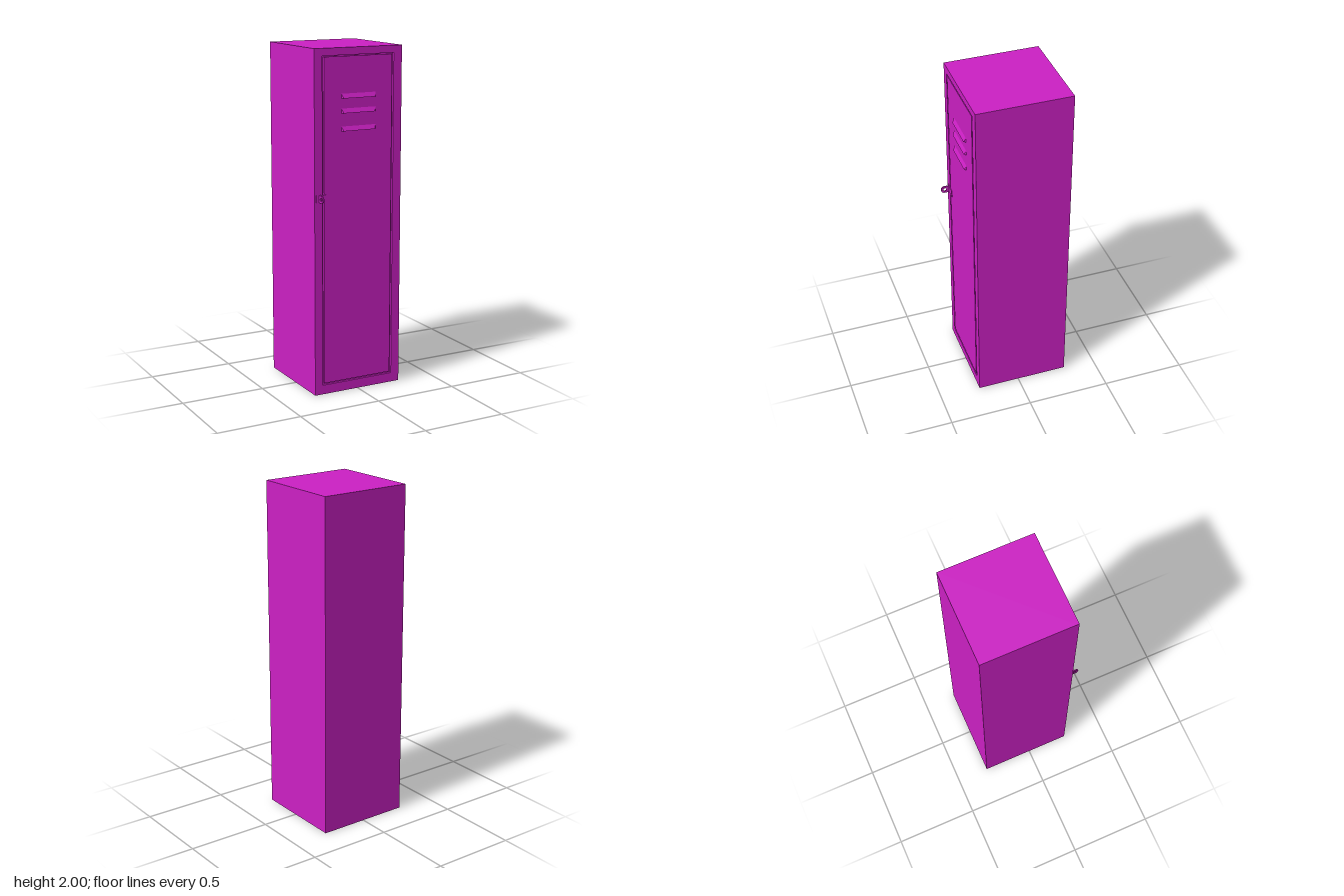
import * as THREE from 'three';

const W = 0.56, H = 2, BACK = -0.305, FRONT = 0.253, RECESS = 0.015;
const DOOR = { x0: -0.219, x1: 0.216, y0: 0.066, y1: 1.952 };
const OPENING = { x0: -0.23, x1: 0.227, y0: 0.055, y1: 1.958 };

const paint = new THREE.MeshStandardMaterial({ color: 0xcc20c4, flatShading: true, side: THREE.DoubleSide });

function add(parent, name, geometry, x = 0, y = 0, z = 0) {
  const mesh = new THREE.Mesh(geometry, paint);
  mesh.name = name;
  mesh.position.set(x, y, z);
  parent.add(mesh);
  return mesh;
}

function tracePanel(path, r) {
  path.moveTo(r.x0, r.y0);
  path.lineTo(r.x1, r.y0);
  path.lineTo(r.x1, r.y1);
  path.lineTo(r.x0, r.y1);
  path.closePath();
  return path;
}

const extrude = (shape, depth) =>
  new THREE.ExtrudeGeometry(shape, { depth, bevelEnabled: false, curveSegments: 10 });

// Pressed vent: sloping hood, deepest at its lower edge, with slanted ends
function louverGeometry() {
  const half = 0.11, inset = 0.01, height = 0.026, depth = 0.012;
  const p = [
    [-half, 0, 0], [half, 0, 0], [half - inset, 0, depth], [inset - half, 0, depth],
    [-half, height, 0], [half, height, 0],
  ].flat();
  const g = new THREE.BufferGeometry();
  g.setAttribute('position', new THREE.Float32BufferAttribute(p, 3));
  g.setIndex([3, 2, 5, 3, 5, 4, 0, 3, 4, 2, 1, 5, 0, 1, 2, 0, 2, 3]);
  const flat = g.toNonIndexed();
  flat.computeVertexNormals();
  return flat;
}

// Round-ended padlock tab with a hole, standing out from the front
function tabGeometry(thickness) {
  const r = 0.021, reach = 0.051;
  const s = new THREE.Shape();
  s.moveTo(0, -r);
  s.lineTo(reach - r, -r);
  s.absarc(reach - r, 0, r, -Math.PI / 2, Math.PI / 2, false);
  s.lineTo(0, r);
  s.closePath();
  s.holes.push(new THREE.Path().absarc(reach - r - 0.002, 0, 0.011, 0, Math.PI * 2, true));
  return extrude(s, thickness).rotateY(-Math.PI / 2); // reach runs along +z
}

export function createModel() {
  const locker = new THREE.Group();
  locker.name = 'locker';

  // Body, with the front frame around the door opening
  const bodyDepth = FRONT - RECESS - BACK;
  add(locker, 'cabinetBody', new THREE.BoxGeometry(W, H, bodyDepth), 0, H / 2, BACK + bodyDepth / 2);
  const frame = tracePanel(new THREE.Shape(), { x0: -W / 2, x1: W / 2, y0: 0, y1: H });
  frame.holes.push(tracePanel(new THREE.Path(), OPENING));
  add(locker, 'frontFrame', extrude(frame, RECESS), 0, 0, FRONT - RECESS);

  // Flush door with vents
  const door = new THREE.Group();
  door.name = 'door';
  locker.add(door);
  add(door, 'doorPanel', extrude(tracePanel(new THREE.Shape(), DOOR), RECESS), 0, 0, FRONT - RECESS);
  for (const y of [1.718, 1.635, 1.534]) add(door, 'ventLouver', louverGeometry(), 0, y, FRONT);

  // Two facing L-shaped brackets: one on the frame, one on the door
  const latch = new THREE.Group();
  latch.name = 'latch';
  locker.add(latch);
  const thin = 0.003, y = 1.161;
  for (const [side, x0, x1, tabX] of [['frame', -0.27, -0.251, -0.251], ['door', -0.248, -0.191, -0.245]]) {
    add(latch, side + 'LatchPlate', new THREE.BoxGeometry(x1 - x0, 0.042, thin), (x0 + x1) / 2, y, FRONT + thin / 2);
    add(latch, side + 'LatchTab', tabGeometry(thin), tabX, y, FRONT);
  }
  return locker;
}
